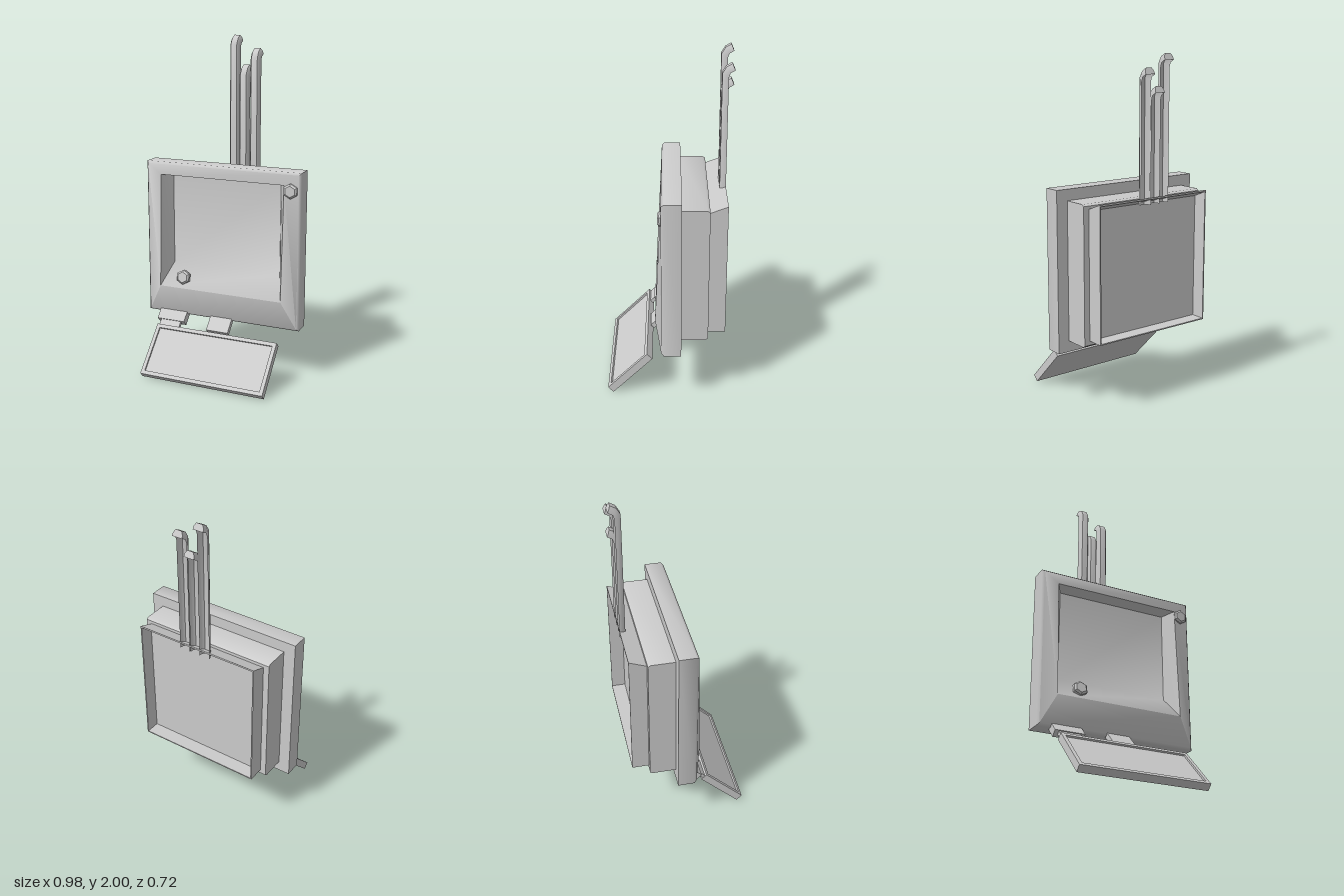
import * as THREE from 'three';
import { toCreasedNormals } from 'three/addons/utils/BufferGeometryUtils.js';

const grey = new THREE.MeshStandardMaterial({ color: 0xcccccc, side: THREE.DoubleSide });

function add(parent, name, geometry, x = 0, y = 0, z = 0, rx = 0) {
  const mesh = new THREE.Mesh(geometry, grey);
  mesh.name = name;
  mesh.position.set(x, y, z);
  mesh.rotation.x = rx;
  parent.add(mesh);
  return mesh;
}

// Skins a list of loops of [x, y, z] points; soft bends are smoothed
function loft(loops, { capStart = false, capEnd = false, open = false } = {}) {
  const out = [];
  const tri = (a, b, c) => out.push(...a, ...b, ...c);
  const n = loops[0].length;
  for (let i = 0; i < loops.length - 1; i++) {
    for (let k = 0; k < (open ? n - 1 : n); k++) {
      const m = (k + 1) % n;
      tri(loops[i][k], loops[i][m], loops[i + 1][m]);
      tri(loops[i][k], loops[i + 1][m], loops[i + 1][k]);
    }
  }
  const first = loops[0], last = loops[loops.length - 1];
  for (let k = 1; k < n - 1; k++) {
    if (capStart) tri(first[0], first[k + 1], first[k]);
    if (capEnd) tri(last[0], last[k], last[k + 1]);
  }
  const g = new THREE.BufferGeometry();
  g.setAttribute('position', new THREE.Float32BufferAttribute(out, 3));
  return toCreasedNormals(g, 0.9);
}

// Rectangular loop: half width, bottom, top, z at the bottom, z at the top
const rect = (w, y0, y1, zb, zt = zb) => [[-w, y0, zb], [w, y0, zb], [w, y1, zt], [-w, y1, zt]];

export function createModel() {
  const model = new THREE.Group();
  model.name = 'wallPanel';

  // Front bezel with a flat back and a sloped lip around the sunken screen
  add(model, 'bezel', loft([
    rect(0.49, 0.32, 1.265, -0.07),
    rect(0.49, 0.32, 1.265, 0.03),
    rect(0.478, 0.332, 1.253, 0.045),
    rect(0.39, 0.5, 1.19, 0.08, 0.048),
    rect(0.345, 0.63, 1.175, -0.03),
  ], { capStart: true, capEnd: true }));

  // Middle housing with slightly eased rear edges
  add(model, 'housing', loft([
    rect(0.42, 0.395, 1.19, -0.225),
    rect(0.42, 0.385, 1.2, -0.21),
    rect(0.42, 0.385, 1.2, -0.07),
  ], { capStart: true }));

  // Rear tray, open at the back, top wall rising to the rear
  add(model, 'rearTray', loft([
    rect(0.378, 0.427, 1.165, -0.24),
    rect(0.378, 0.427, 1.2, -0.325),
    rect(0.385, 0.42, 1.21, -0.325),
    rect(0.385, 0.42, 1.17, -0.22),
  ], { capStart: true }));

  // Three half-pipe conduits, open behind, hooked backwards at the top
  const section = (fy, fz, by, bz) => {
    const mix = (t) => [fy + (by - fy) * t, fz + (bz - fz) * t];
    return [
      [-0.032, by, bz], [-0.03, ...mix(0.5)], [-0.019, fy, fz],
      [0.019, fy, fz], [0.03, ...mix(0.5)], [0.032, by, bz],
    ];
  };
  for (const [x, top] of [[-0.0625, 2.0], [0, 1.825], [0.07, 1.925]]) {
    add(model, 'conduit', loft([
      section(1.17, -0.29, 1.17, -0.325),
      section(top - 0.055, -0.29, top - 0.075, -0.325),
      section(top - 0.018, -0.312, top - 0.05, -0.333),
      section(top, -0.345, top - 0.035, -0.36),
    ], { capEnd: true, open: true }), x);
  }

  // Hexagonal bolts on the bezel, the lower one tipped with the slope
  for (const [x, y, z, tilt] of [[0.43, 1.16, 0.05, 0], [-0.245, 0.565, 0.058, -0.2]]) {
    const bolt = new THREE.Group();
    bolt.name = 'hexBolt';
    bolt.position.set(x, y, z);
    bolt.rotation.x = tilt;
    const head = toCreasedNormals(new THREE.CylinderGeometry(0.033, 0.045, 0.01, 6), 0.5);
    const base = toCreasedNormals(new THREE.CylinderGeometry(0.045, 0.045, 0.02, 6), 0.5);
    add(bolt, 'boltHead', head, 0, 0, 0.01, Math.PI / 2);
    add(bolt, 'boltBase', base, 0, 0, -0.005, Math.PI / 2);
    model.add(bolt);
  }

  // Tilted lower tray with a raised rim
  add(model, 'lowerTray', loft([
    rect(0.39, -0.165, 0.165, -0.0225),
    rect(0.39, -0.165, 0.165, 0.0225),
    rect(0.368, -0.142, 0.142, 0.0225),
    rect(0.368, -0.142, 0.142, 0.012),
  ], { capStart: true, capEnd: true }), 0, 0.135, 0.23, -Math.PI / 4);

  // Arm carrying the tray
  add(model, 'trayArm', new THREE.BoxGeometry(0.14, 0.108, 0.03), 0, 0.298, 0.064, -Math.PI / 4);

  // Side socket with a protruding tongue
  const socket = new THREE.Group();
  socket.name = 'sideSocket';
  socket.position.set(-0.317, 0.302, 0.052);
  socket.rotation.x = -Math.PI / 4;
  add(socket, 'socketBody', new THREE.BoxGeometry(0.18, 0.075, 0.045));
  add(socket, 'socketTongue', new THREE.BoxGeometry(0.132, 0.06, 0.022), 0, -0.055, 0.006);
  model.add(socket);

  return model;
}
